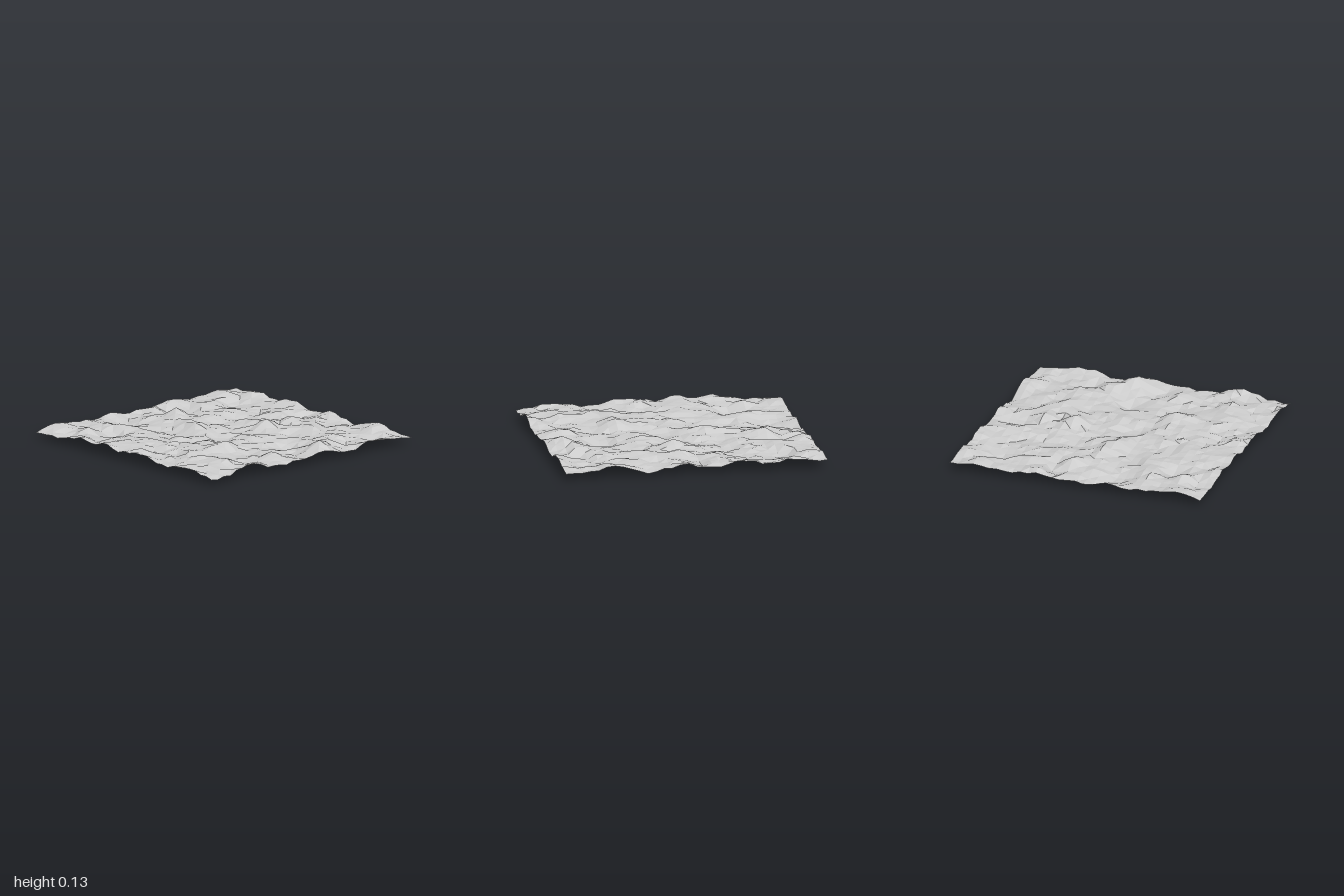
import * as THREE from 'three';

const SEGMENTS = 32;

// Seeded value in -1..1 for an integer lattice point
function hash(i, j, seed) {
  const n = Math.sin(i * 127.1 + j * 311.7 + seed * 74.7) * 43758.5453;
  return (n - Math.floor(n)) * 2 - 1;
}

// Smooth value noise in -1..1
function noise(x, z, seed) {
  const i = Math.floor(x), j = Math.floor(z);
  const ease = (t) => t * t * (3 - 2 * t);
  const u = ease(x - i), v = ease(z - j);
  const { lerp } = THREE.MathUtils;
  const near = lerp(hash(i, j, seed), hash(i + 1, j, seed), u);
  const far = lerp(hash(i, j + 1, seed), hash(i + 1, j + 1, seed), u);
  return lerp(near, far, v);
}

// Summits and pits: x, z, height, radius
const LANDMARKS = [
  [0.1875, 0.875, 0.135, 0.08], [-0.3125, 0.375, 0.12, 0.08], [0.375, 0.0625, 0.12, 0.08],
  [0.125, -0.6875, 0.112, 0.08], [0.625, 0.0625, 0.1, 0.08], [-0.75, -0.6875, 0.105, 0.08],
  [-0.4375, 0.375, 0.105, 0.08], [-0.625, 0.75, 0.1, 0.08], [0.3125, -0.9375, 0.1, 0.08],
  [0.125, 0.5625, 0, 0.11], [-0.625, -0.5625, 0.012, 0.1], [0.6875, -0.6875, 0.02, 0.1],
];

// Slopes falling towards +x +z, each along a line: x1, z1, x2, z2
const SCARPS = [
  [-0.25, 0.2, 0.05, -0.3], [-0.38, 0.6, -0.2, 0.42], [-0.08, -0.68, 0.15, -0.88],
  [-0.45, -0.33, -0.3, -0.5], [0.22, 0.95, 0.45, 0.75], [0.6, 0.1, 0.75, -0.1],
  [-0.32, -0.85, -0.2, -0.98], [-0.95, -0.72, -0.8, -0.88], [0.65, 0.68, 0.85, 0.45],
  [0.72, -0.75, 0.88, -0.9], [-0.78, 0.02, -0.7, -0.1], [-0.58, 0.38, -0.42, 0.25],
  [0.12, 0.45, 0.22, 0.36], [0.62, 0.38, 0.72, 0.25], [-0.75, 0.82, -0.6, 0.7],
  [0.4, 0.08, 0.48, -0.08], [-0.98, -0.4, -0.88, -0.5], [0.9, 0.85, 0.98, 0.75],
];

// Heights along the front (over x) and left (over z) borders
const FRONT_EDGE = [[-1, 0.04], [-0.85, 0.045], [-0.62, 0.1], [-0.35, 0.04], [-0.1, 0.055],
  [0.12, 0.09], [0.36, 0.035], [0.62, 0.095], [0.85, 0.07], [1, 0.05]];
const LEFT_EDGE = [[-1, 0.06], [-0.72, 0.09], [-0.55, 0.055], [-0.4, 0.09], [-0.12, 0.05],
  [0.1, 0.08], [0.35, 0.03], [0.6, 0.09], [0.85, 0.05], [1, 0.05]];

function sample(points, t) {
  let k = 0;
  while (k < points.length - 2 && t > points[k + 1][0]) k++;
  const [a, ha] = points[k], [b, hb] = points[k + 1];
  return ha + (hb - ha) * THREE.MathUtils.smoothstep(t, a, b);
}

function terrainHeight(x, z) {
  // Rolling ground
  let h = 0.061 + 0.023 * noise(x * 4, z * 4, 3) + 0.021 * noise(x * 7 + 0.4, z * 7 + 0.4, 7);

  // High bank on one side of each scarp, hollow on the other
  for (const [x1, z1, x2, z2] of SCARPS) {
    const length = Math.hypot(x2 - x1, z2 - z1);
    const dx = (x2 - x1) / length, dz = (z2 - z1) / length;
    const along = (x - x1) * dx + (z - z1) * dz;
    const across = (x - x1) * -dz + (z - z1) * dx;
    const past = Math.max(0, -along, along - length);
    h -= 0.36 * across * Math.exp(-((across / 0.08) ** 2) - (past / 0.07) ** 2);
  }
  // Ease into the border profiles
  h += (sample(LEFT_EDGE, z) - h) * Math.exp(-(((1 - x) / 0.1) ** 2));
  h += (sample(FRONT_EDGE, x) - h) * Math.exp(-(((1 - z) / 0.08) ** 2));

  // Fine roughness, kept between the pits and the summits
  h = THREE.MathUtils.clamp(h + 0.01 * noise(x * 16, z * 16, 11), 0.016, 0.106);
  for (const [px, pz, level, radius] of LANDMARKS) {
    h += (level - h) * Math.exp(-((x - px) ** 2 + (z - pz) ** 2) / radius ** 2);
  }
  return h;
}

// Square grid whose cells are split along alternating diagonals
function createGrid() {
  const geometry = new THREE.PlaneGeometry(2, 2, SEGMENTS, SEGMENTS);
  geometry.rotateX(-Math.PI / 2);
  const index = [];
  for (let j = 0; j < SEGMENTS; j++) {
    for (let i = 0; i < SEGMENTS; i++) {
      const a = j * (SEGMENTS + 1) + i, b = a + SEGMENTS + 1;
      if ((i + j) % 2) index.push(a, b, b + 1, a, b + 1, a + 1);
      else index.push(a, b, a + 1, b, b + 1, a + 1);
    }
  }
  geometry.setIndex(index);
  return geometry;
}

export function createModel() {
  const group = new THREE.Group();
  group.name = 'terrain';

  // Open sheet, displaced vertex by vertex
  const geometry = createGrid();
  const position = geometry.attributes.position;
  for (let i = 0; i < position.count; i++) {
    position.setY(i, terrainHeight(position.getX(i), position.getZ(i)));
  }
  geometry.computeVertexNormals();

  const material = new THREE.MeshStandardMaterial({
    color: 0xcccccc, flatShading: true, side: THREE.DoubleSide,
  });
  const ground = new THREE.Mesh(geometry, material);
  ground.name = 'groundSurface';
  group.add(ground);
  return group;
}
